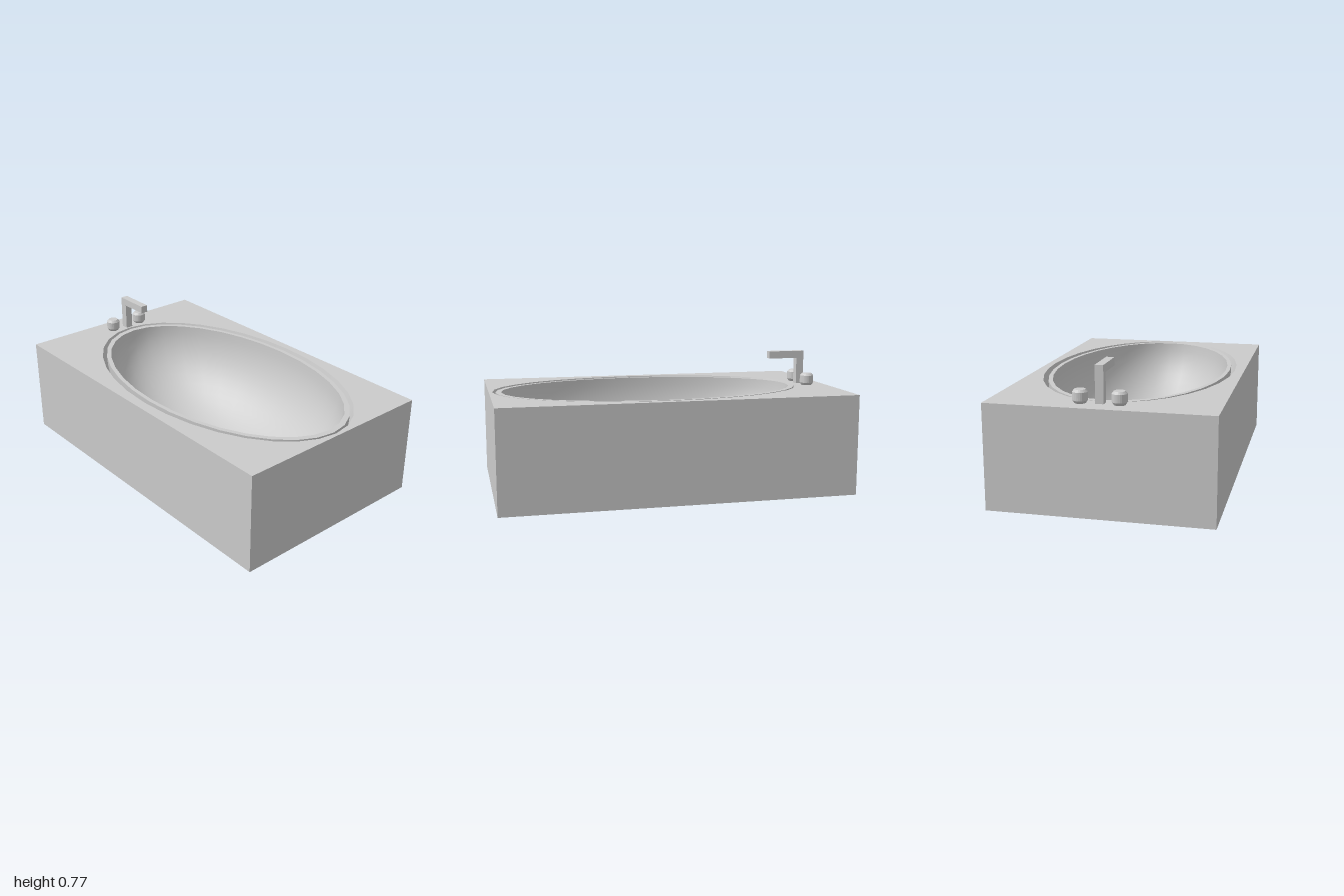
import * as THREE from 'three';

const W = 0.598, L = 1, H = 0.57;    // half width, half length, height of the block
const CX = 0.007, CZ = 0.07;         // centre of the oval basin
const SEG = 32;

const grey = new THREE.MeshStandardMaterial({ color: 0xcccccc });
const thin = new THREE.MeshStandardMaterial({ color: 0xcccccc, side: THREE.DoubleSide });

function add(parent, name, geometry, material = grey) {
  const mesh = new THREE.Mesh(geometry, material);
  mesh.name = name;
  parent.add(mesh);
  return mesh;
}

// Smooth surface through oval rings [halfWidth, halfLength, y], facing inwards when listed top to bottom
function ovalLoft(rings) {
  const pos = [], index = [];
  rings.forEach(([a, b, y], j) => {
    for (let i = 0; i < SEG; i++) {
      const t = (i / SEG) * Math.PI * 2;
      pos.push(CX + a * Math.cos(t), y, CZ + b * Math.sin(t));
      if (j === rings.length - 1) continue;
      const p = j * SEG + i, q = j * SEG + (i + 1) % SEG;
      index.push(p, p + SEG, q, q, p + SEG, q + SEG);
    }
  });
  const g = new THREE.BufferGeometry();
  g.setAttribute('position', new THREE.Float32BufferAttribute(pos, 3));
  g.setIndex(index);
  g.computeVertexNormals();
  return g;
}

// Rings of a half ellipsoid hanging down from height y
function bowlRings(a, b, y, depth, steps = 16) {
  return Array.from({ length: steps + 1 }, (_, i) => {
    const t = (Math.PI / 2) * i / steps;
    const r = Math.max(Math.cos(t), 0.001);
    return [a * r, b * r, y - depth * Math.sin(t)];
  });
}

// Flat rectangle with an oval opening, lying at height y
function plate(a, b, y, faceUp) {
  const s = faceUp ? -1 : 1;
  const shape = new THREE.Shape([
    new THREE.Vector2(-W, -L), new THREE.Vector2(W, -L),
    new THREE.Vector2(W, L), new THREE.Vector2(-W, L),
  ]);
  const hole = [];
  for (let i = 0; i < SEG; i++) {
    const t = (i / SEG) * Math.PI * 2;
    hole.push(new THREE.Vector2(CX + a * Math.cos(t), s * CZ + b * Math.sin(t)));
  }
  shape.holes.push(new THREE.Path(hole));
  return new THREE.ShapeGeometry(shape).rotateX(s * Math.PI / 2).translate(0, y, 0);
}

export function createModel() {
  const model = new THREE.Group();
  model.name = 'bathtub';

  // Surround block with a tapered oval opening right through it
  const surround = new THREE.Group();
  surround.name = 'surround';
  model.add(surround);
  add(surround, 'deck', plate(0.55, 0.91, H, true));
  add(surround, 'underside', plate(0.418, 0.686, 0, false));
  add(surround, 'openingWall', ovalLoft([[0.55, 0.91, H], [0.418, 0.686, 0]]));
  for (let i = 0; i < 4; i++) {
    const side = i % 2;
    const panel = new THREE.PlaneGeometry(side ? 2 * L : 2 * W, H);
    panel.translate(0, H / 2, side ? W : L).rotateY(i * Math.PI / 2);
    add(surround, 'sidePanel', panel);
  }

  // Basin shell hung in the opening: rounded inside, flat rim, rounded underside
  const basin = new THREE.Group();
  basin.name = 'basin';
  model.add(basin);
  const rimY = 0.567;
  add(basin, 'bowlInside', ovalLoft(bowlRings(0.495, 0.86, rimY, 0.525)), thin);
  add(basin, 'rim', ovalLoft([[0.518, 0.893, rimY], [0.495, 0.86, rimY]]), thin);
  add(basin, 'bowlUnderside', ovalLoft(bowlRings(0.518, 0.893, rimY, 0.55).reverse()), thin);

  // Square tap: upright and spout in one bent outline
  const outline = [[-0.895, H], [-0.895, 0.768], [-0.676, 0.768], [-0.676, 0.725], [-0.85, 0.725], [-0.85, H]];
  const tapShape = new THREE.Shape(outline.map(([z, y]) => new THREE.Vector2(-z, y)));
  const tap = new THREE.ExtrudeGeometry(tapShape, { depth: 0.044, bevelEnabled: false });
  tap.translate(0, 0, -0.022).rotateY(Math.PI / 2).translate(0.014, 0, 0);
  add(model, 'tap', tap);

  // Two turned handles with chamfered ends
  const profile = [[0, H], [0.03, H], [0.04, 0.585], [0.04, 0.628], [0.029, 0.641], [0, 0.641]];
  for (const [name, x] of [['rightHandle', -0.088], ['leftHandle', 0.116]]) {
    const handle = new THREE.LatheGeometry(profile.map(([r, y]) => new THREE.Vector2(r, y)), 24);
    const faceted = handle.toNonIndexed();
    faceted.computeVertexNormals();
    add(model, name, faceted).position.set(x, 0, -0.885);
  }
  return model;
}
